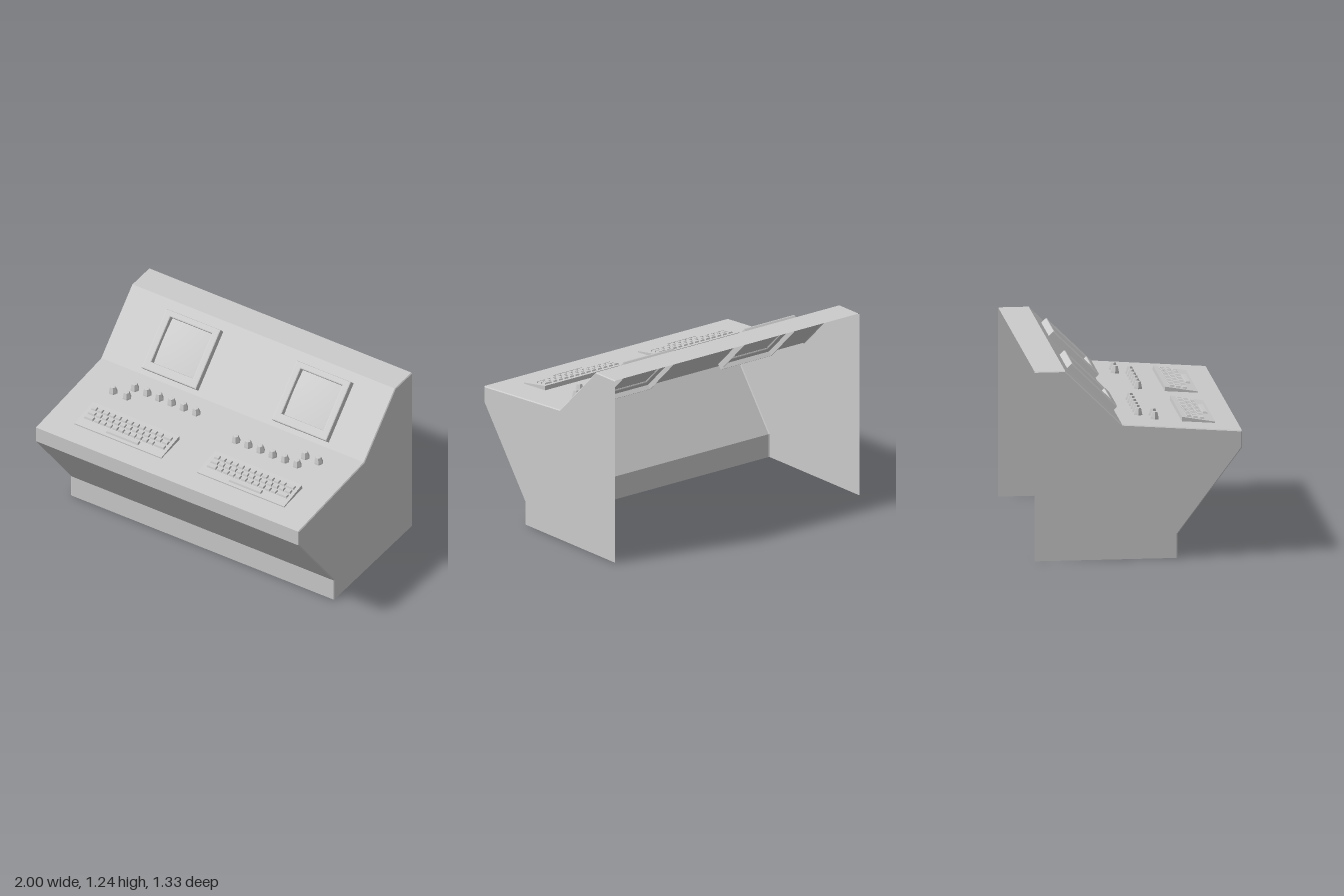
import * as THREE from 'three';
import { mergeGeometries } from 'three/addons/utils/BufferGeometryUtils.js';

const flat = new THREE.MeshStandardMaterial({ color: 0xcccccc, flatShading: true, side: THREE.DoubleSide });
const smooth = new THREE.MeshStandardMaterial({ color: 0xcccccc, side: THREE.DoubleSide });

function add(parent, name, geometry, material = flat) {
  const mesh = new THREE.Mesh(geometry, material);
  mesh.name = name;
  parent.add(mesh);
  return mesh;
}

// Cabinet profile as [z, y], from the plinth up and over to the open back
const OUTER = [[0.25, 0], [0.25, 0.155], [0.665, 0.71], [0.665, 0.82], [-0.105, 0.877], [-0.47, 1.235], [-0.667, 1.235]];
const INNER = [[0.244, 0], [0.244, 0.157], [0.659, 0.712], [0.659, 0.814], [-0.108, 0.871], [-0.473, 1.229], [-0.667, 1.229]];

// Folded sheet with a narrow chamfer along both ends
function sheetGeometry() {
  const sections = [[-1, INNER], [-0.994, OUTER], [0.994, OUTER], [1, INNER]];
  const pos = [];
  for (let s = 0; s < sections.length - 1; s++) {
    const [xa, pa] = sections[s], [xb, pb] = sections[s + 1];
    for (let i = 0; i < OUTER.length - 1; i++) {
      const a = [xa, pa[i][1], pa[i][0]], b = [xb, pb[i][1], pb[i][0]];
      const c = [xb, pb[i + 1][1], pb[i + 1][0]], d = [xa, pa[i + 1][1], pa[i + 1][0]];
      pos.push(...a, ...b, ...c, ...a, ...c, ...d);
    }
  }
  const g = new THREE.BufferGeometry();
  g.setAttribute('position', new THREE.Float32BufferAttribute(pos, 3));
  g.computeVertexNormals();
  return g;
}

function sideGeometry(x) {
  const points = [...INNER, [-0.667, 0]].map(([z, y]) => new THREE.Vector2(-z, y));
  return new THREE.ShapeGeometry(new THREE.Shape(points)).rotateY(Math.PI / 2).translate(x, 0, 0);
}

function rectangle(Kind, x0, y0, x1, y1) {
  return new Kind([[x0, y0], [x1, y0], [x1, y1], [x0, y1]].map(([x, y]) => new THREE.Vector2(x, y)));
}

// Monitor lying on the sloped panel: local y runs up the slope, z points out of it
function monitor(x) {
  const g = new THREE.Group();
  g.name = 'monitor';

  const frame = rectangle(THREE.Shape, -0.207, 0.035, 0.207, 0.445);
  frame.holes.push(rectangle(THREE.Path, -0.157, 0.094, 0.157, 0.404));
  add(g, 'bezel', new THREE.ExtrudeGeometry(frame, {
    depth: 0.039, bevelEnabled: true, bevelSize: 0.008, bevelThickness: 0.008, bevelOffset: -0.008, bevelSegments: 2,
  }).translate(0, 0, -0.002));

  // Open rim showing behind the panel
  const rim = rectangle(THREE.Shape, -0.207, 0.035, 0.207, 0.445);
  rim.holes.push(rectangle(THREE.Path, -0.204, 0.038, 0.204, 0.442));
  add(g, 'rearRim', new THREE.ExtrudeGeometry(rim, { depth: 0.04, bevelEnabled: false }).translate(0, 0, -0.04));

  // Bulging glass
  const glass = new THREE.PlaneGeometry(0.324, 0.32, 12, 12);
  const p = glass.attributes.position;
  for (let i = 0; i < p.count; i++) {
    const u = p.getX(i) / 0.162, v = p.getY(i) / 0.16;
    p.setZ(i, 0.003 + 0.011 * (2 - u * u - v * v));
  }
  glass.computeVertexNormals();
  add(g, 'screen', glass.translate(0, 0.249, 0), smooth);

  g.position.set(x, 0.877, -0.105);
  g.rotation.x = -0.795;
  return g;
}

// Key with a narrower top, sitting on its base
function keyGeometry(w, d, x, y, z) {
  const g = new THREE.BoxGeometry(w, 0.016, d).translate(0, 0.008, 0);
  const p = g.attributes.position;
  for (let i = 0; i < p.count; i++) {
    if (p.getY(i) > 0.01) p.setXYZ(i, p.getX(i) - Math.sign(p.getX(i)) * 0.006, p.getY(i), p.getZ(i) * 0.7);
  }
  return g.translate(x, y, z);
}

const TILT = Math.atan2(0.057, 0.77);
const deskY = z => 0.82 + (0.665 - z) * 0.074;

function keyboard(x) {
  const g = new THREE.Group();
  g.name = 'keyboard';

  // Wedge-shaped tray
  const tray = new THREE.BoxGeometry(0.66, 0.02, 0.214);
  const p = tray.attributes.position;
  for (let i = 0; i < p.count; i++) p.setY(i, p.getY(i) < 0 ? 0 : p.getZ(i) < 0 ? 0.029 : 0.008);
  add(g, 'keyboardTray', tray);
  const top = z => 0.0165 - z * 0.098;

  // Staggered rows with wider keys at both ends
  const keys = [];
  [[-0.059, 0.046], [-0.018, 0.062], [0.024, 0.076]].forEach(([z, first]) => {
    const pitch = 0.0455;
    let left = -0.305;
    while (left < 0.3) {
      let w = left < -0.3 ? first : pitch;
      if (left + w + pitch > 0.31) w = 0.31 - left;
      keys.push(keyGeometry(w - 0.005, 0.036, left + w / 2, top(z) - 0.003, z));
      left += w;
    }
  });
  keys.push(keyGeometry(0.247, 0.036, 0.016, top(0.068) - 0.003, 0.068));
  add(g, 'keys', mergeGeometries(keys));

  g.position.set(x, deskY(0.408), 0.408);
  g.rotation.x = TILT;
  return g;
}

// Six-sided tapered knob with a flared foot
function knob(x, z) {
  const profile = [[0, 0], [0.031, 0], [0.029, 0.01], [0.018, 0.046], [0, 0.047]].map(([r, y]) => new THREE.Vector2(r, y));
  const mesh = new THREE.Mesh(new THREE.LatheGeometry(profile, 6, Math.PI / 6), flat);
  mesh.name = 'knob';
  mesh.position.set(x, deskY(z), z);
  mesh.rotation.x = TILT;
  return mesh;
}

export function createModel() {
  const model = new THREE.Group();
  model.name = 'controlConsole';

  add(model, 'cabinetSheet', sheetGeometry());
  add(model, 'leftSide', sideGeometry(1));
  add(model, 'rightSide', sideGeometry(-1));

  for (const x of [-0.483, 0.507]) model.add(monitor(x));
  for (const x of [-0.47, 0.462]) model.add(keyboard(x));

  // A row of six knobs and an offset pair at each station
  for (let i = 0; i < 6; i++) {
    model.add(knob(-0.65 + i * 0.093, 0.037), knob(0.18 + i * 0.093, 0.133));
  }
  model.add(knob(-0.755, 0.13), knob(-0.65, 0.13), knob(0.645, 0.04), knob(0.747, 0.04));

  return model;
}
